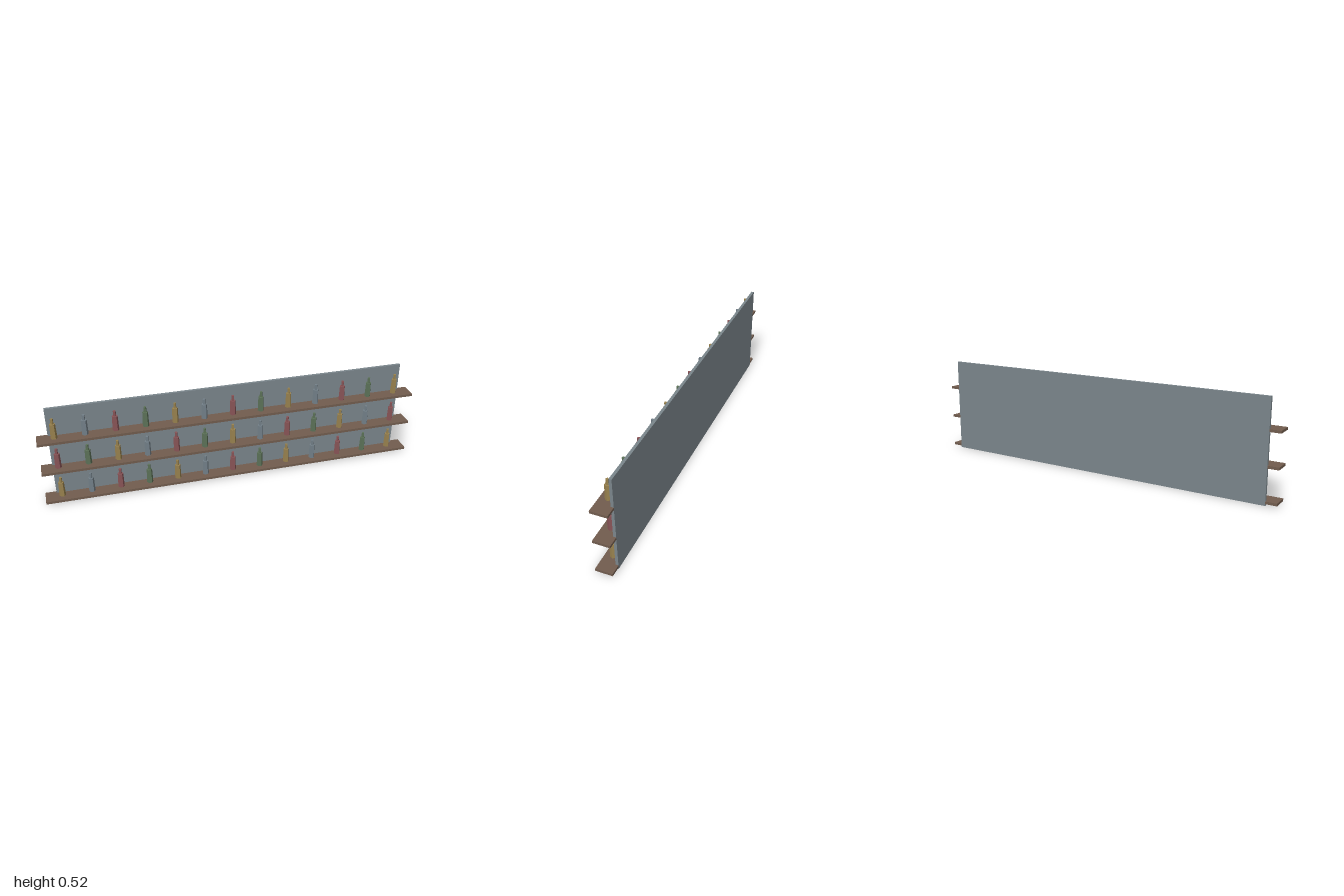
import * as THREE from 'three';

const material = (name, color, flatShading = false) => {
  const m = new THREE.MeshStandardMaterial({ color, flatShading });
  m.name = name;
  return m;
};

export function createModel() {
  const model = new THREE.Group();
  model.name = 'bottleShelves';

  const panelGrey = material('panelGrey', 0x7b868c);
  const wood = material('wood', 0x725d4f);
  const glass = [
    material('amberGlass', 0x9a834f, true),
    material('blueGreyGlass', 0x74818a, true),
    material('redGlass', 0x8b5558, true),
    material('greenGlass', 0x5d7359, true),
  ];

  const box = (name, mat, [w, h, d], [x, y, z]) => {
    const mesh = new THREE.Mesh(new THREE.BoxGeometry(w, h, d), mat);
    mesh.name = name;
    mesh.position.set(x, y, z);
    model.add(mesh);
  };

  // Back panel
  box('backPanel', panelGrey, [1.888, 0.516, 0.0145], [0, 0.258, -0.0358]);

  // Six-sided bottle parts, with a corner pointing along x
  const hexPart = (top, bottom, height, y) =>
    new THREE.CylinderGeometry(top, bottom, height, 6).rotateY(Math.PI / 6).translate(0, y, 0);
  const bodyGeometry = hexPart(0.0144, 0.0165, 0.08, 0.04);
  const neckGeometry = hexPart(0.0072, 0.0072, 0.0285, 0.09425);

  // Three shelves, each with a row of thirteen bottles
  for (let row = 0; row < 3; row++) {
    const shelfY = 0.0155 + row * 0.1715;
    box('shelf', wood, [2, 0.013, 0.087], [0, shelfY, 0.0005]);

    for (let i = 0; i < 13; i++) {
      const mat = glass[(i + row * 2) % 4];
      const bottle = new THREE.Group();
      bottle.name = 'bottle';
      const body = new THREE.Mesh(bodyGeometry, mat);
      body.name = 'bottleBody';
      const neck = new THREE.Mesh(neckGeometry, mat);
      neck.name = 'bottleNeck';
      bottle.add(body, neck);
      bottle.position.set(-0.914 + i * 0.1514, shelfY + 0.0085, 0.0015);
      model.add(bottle);
    }
  }
  // Turn hex sides so the flat faces look forward
  return model;
}
